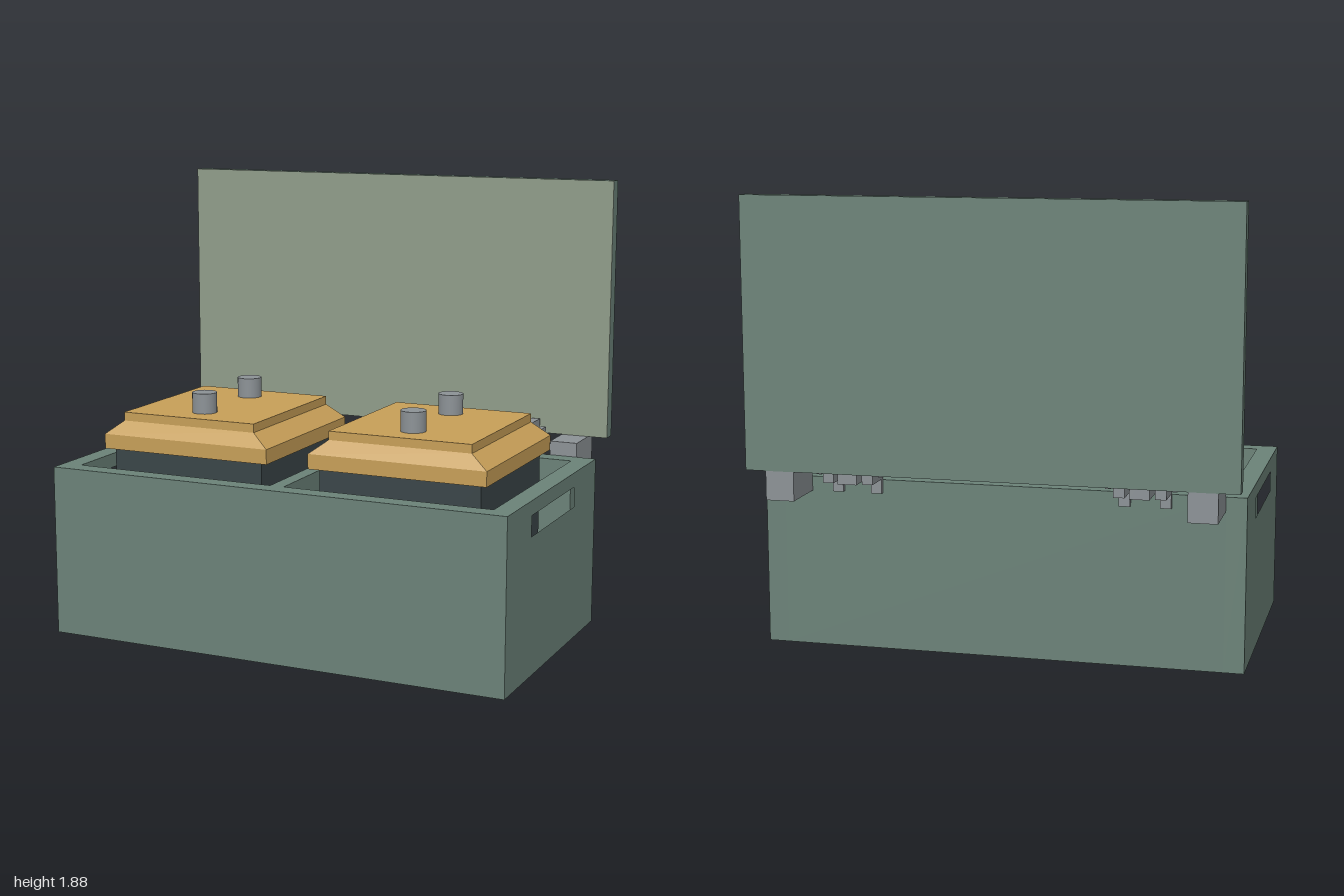
import * as THREE from 'three';

const mat = (color) => new THREE.MeshStandardMaterial({ color });

// Adds a box given by its min/max extents
function block(parent, name, material, [x0, x1], [y0, y1], [z0, z1]) {
  const mesh = new THREE.Mesh(new THREE.BoxGeometry(x1 - x0, y1 - y0, z1 - z0), material);
  mesh.position.set((x0 + x1) / 2, (y0 + y1) / 2, (z0 + z1) / 2);
  mesh.name = name;
  parent.add(mesh);
  return mesh;
}

// Closed solid from stacked rectangles [y, halfX, halfZ], bottom to top
function steppedSolid(levels) {
  const rings = levels.map(([y, hx, hz]) =>
    [[-hx, hz], [hx, hz], [hx, -hz], [-hx, -hz]].map(([x, z]) => [x, y, z]));
  const pos = [];
  const quad = (a, b, c, d) => pos.push(...a, ...b, ...c, ...a, ...c, ...d);
  for (let i = 0; i < rings.length - 1; i++) {
    for (let k = 0; k < 4; k++) {
      const n = (k + 1) % 4;
      quad(rings[i][k], rings[i][n], rings[i + 1][n], rings[i + 1][k]);
    }
  }
  quad(...rings[rings.length - 1]);
  quad(...[...rings[0]].reverse());
  const geo = new THREE.BufferGeometry();
  geo.setAttribute('position', new THREE.Float32BufferAttribute(pos, 3));
  geo.computeVertexNormals();
  return geo;
}

export function createModel() {
  const model = new THREE.Group();
  const green = mat(0x6b8278);
  const paleGreen = mat(0x8f9c8a);
  const gold = mat(0xc79f58);
  const dark = mat(0x3a4548);
  const metal = mat(0x8c9296);

  // Open case with two wells
  const box = new THREE.Group();
  box.name = 'case';
  model.add(box);
  block(box, 'caseFloor', green, [-0.917, 0.917], [0, 0.1], [-0.36, 0.58]);
  block(box, 'frontWall', green, [-0.917, 0.917], [0, 0.715], [0.58, 0.66]);
  block(box, 'backWall', green, [-0.917, 0.917], [0, 0.715], [-0.44, -0.36]);
  block(box, 'divider', green, [-0.03, 0.03], [0.1, 0.715], [-0.36, 0.58]);

  // End walls, each cut through by a carrying slot
  const rect = (Type, z0, z1, y0, y1) => {
    const s = new Type();
    s.moveTo(-z0, y0).lineTo(-z1, y0).lineTo(-z1, y1).lineTo(-z0, y1).closePath();
    return s;
  };
  const endShape = rect(THREE.Shape, -0.44, 0.66, 0, 0.715);
  endShape.holes.push(rect(THREE.Path, -0.15, 0.38, 0.57, 0.655));
  const endGeo = new THREE.ExtrudeGeometry(endShape, { depth: 0.083, bevelEnabled: false });
  endGeo.rotateY(Math.PI / 2);

  // Stepped, chamfered cap
  const capGeo = steppedSolid([
    [0.775, 0.38, 0.38], [0.837, 0.38, 0.38], [0.894, 0.305, 0.345], [0.93, 0.305, 0.345],
  ]);
  const knobGeo = new THREE.CylinderGeometry(0.052, 0.052, 0.085, 24);

  for (const side of [-1, 1]) {
    const label = side > 0 ? 'left' : 'right';
    const span = (a, b) => (side > 0 ? [a, b] : [-b, -a]);

    const end = new THREE.Mesh(endGeo, green);
    end.name = label + 'EndWall';
    end.position.x = side > 0 ? 0.917 : -1;
    box.add(end);

    // Stored unit: dark body, cap and two knobs
    const unit = new THREE.Group();
    unit.name = label + 'Unit';
    model.add(unit);
    block(unit, 'unitBody', dark, span(0.13, 0.82), [0.1, 0.775], [-0.235, 0.46]);
    const cap = new THREE.Mesh(capGeo, gold);
    cap.name = 'unitCap';
    cap.position.set(side * 0.473, 0, 0.11);
    unit.add(cap);
    for (const z of [-0.095, 0.31]) {
      const knob = new THREE.Mesh(knobGeo, metal);
      knob.name = 'knob';
      knob.position.set(side * 0.473, 0.9725, z);
      unit.add(knob);
    }

    // Support block under the lid
    block(model, label + 'LidSupport', metal, span(0.797, 0.915), [0.655, 0.775], [-0.66, -0.44]);

    // Hinge, built symmetrically about its own centre
    const hinge = new THREE.Group();
    hinge.name = label + 'Hinge';
    hinge.position.x = side * 0.597;
    model.add(hinge);
    block(hinge, 'pin', metal, [-0.13, 0.13], [0.763, 0.797], [-0.535, -0.501]);
    block(hinge, 'centreKnuckle', metal, [-0.04, 0.04], [0.718, 0.845], [-0.585, -0.458]);
    block(hinge, 'lidTab', metal, [-0.04, 0.04], [0.778, 0.826], [-0.602, -0.585]);
    for (const s of [-1, 1]) {
      const at = (a, b) => (s > 0 ? [a, b] : [-b, -a]);
      block(hinge, 'outerKnuckle', metal, at(0.06, 0.105), [0.72, 0.84], [-0.577, -0.46]);
      block(hinge, 'caseTab', metal, at(0.06, 0.105), [0.66, 0.77], [-0.46, -0.438]);
      block(hinge, 'pinHead', metal, at(0.12, 0.142), [0.748, 0.812], [-0.55, -0.485]);
    }
  }

  // Raised lid with a paler inner face
  const lid = new THREE.Group();
  lid.name = 'lid';
  model.add(lid);
  block(lid, 'lidPanel', green, [-1, 1], [0.775, 1.88], [-0.66, -0.602]);
  block(lid, 'lidLining', paleGreen, [-1, 1], [0.775, 1.88], [-0.602, -0.598]);

  return model;
}
